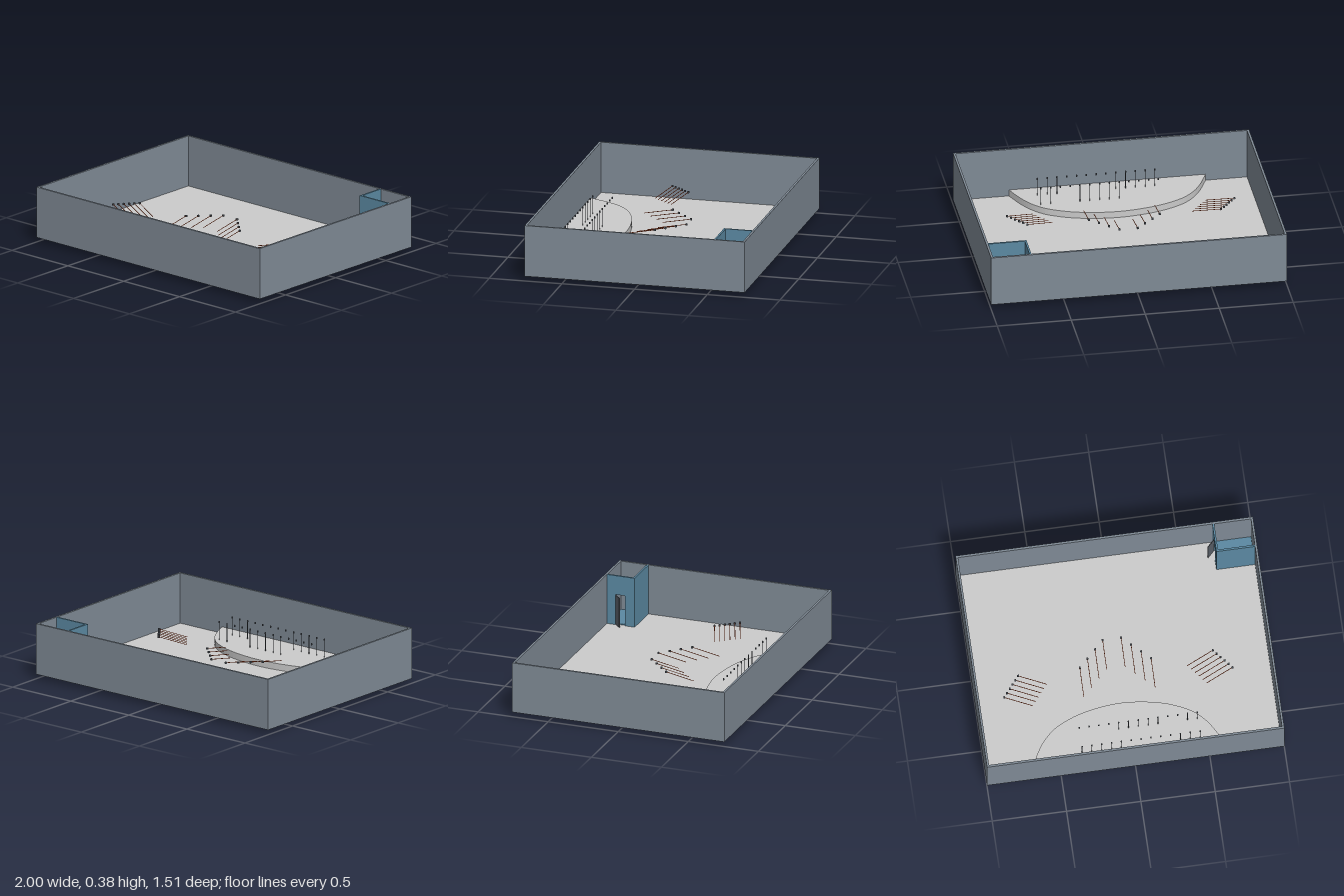
import * as THREE from 'three';

export function createModel() {
  const root = new THREE.Group();
  root.name = 'roomWithStage';
  const mat = (name, color, side = THREE.FrontSide) => {
    const m = new THREE.MeshStandardMaterial({ color, side });
    m.name = name;
    return m;
  };
  const wallGrey = mat('wallGrey', 0x7f8a95);
  const floorGrey = mat('floorGrey', 0xcbcbcb);
  const boothBlue = mat('boothBlue', 0x5b89a2);
  const beamOrange = mat('beamOrange', 0xcc4f24);
  const fixtureGrey = mat('fixtureGrey', 0x5a6068);

  const add = (name, geometry, material, parent = root) => {
    const mesh = new THREE.Mesh(geometry, material);
    mesh.name = name;
    parent.add(mesh);
    return mesh;
  };
  // box given by its minimum and maximum corners
  const box = (name, material, x0, x1, y0, y1, z0, z1, parent = root) => {
    const m = add(name, new THREE.BoxGeometry(x1 - x0, y1 - y0, z1 - z0), material, parent);
    m.position.set((x0 + x1) / 2, (y0 + y1) / 2, (z0 + z1) / 2);
    return m;
  };
  // thin straight rod between two points
  const rod = (name, material, a, b, radius, parent) => {
    const m = add(name, new THREE.CylinderGeometry(radius, radius, a.distanceTo(b), 6), material, parent);
    m.position.copy(a).lerp(b, 0.5);
    m.quaternion.setFromUnitVectors(new THREE.Vector3(0, 1, 0), b.clone().sub(a).normalize());
    return m;
  };

  // floor slab and the four outer walls
  const X = 1, Z = 0.757, T = 0.015, FLOOR = 0.035, TOP = 0.385;
  box('floor', floorGrey, -X + T, X - T, 0.028, FLOOR, -Z + T, Z - T);
  box('leftWall', wallGrey, X - T, X, FLOOR - 0.002, TOP, -Z, Z);
  box('rightWall', wallGrey, -X, -X + T, FLOOR - 0.002, TOP, -Z, Z);
  box('frontWall', wallGrey, -X + T, X - T, FLOOR - 0.002, TOP, Z - T, Z);
  box('backWall', wallGrey, -X + T, X - T, FLOOR - 0.002, TOP, -Z, -Z + T);

  // corner booth, open at the top, with a doorway and an open door
  const booth = new THREE.Group();
  booth.name = 'cornerBooth';
  root.add(booth);
  box('boothFloor', boothBlue, 0.735, X - T, FLOOR, FLOOR + 0.006, -Z + T, -0.55, booth);
  box('boothFrontWall', boothBlue, 0.725, X - T, FLOOR, TOP, -0.558, -0.545, booth);
  box('boothSideWallNear', boothBlue, 0.725, 0.738, FLOOR, TOP, -0.615, -0.558, booth);
  box('boothSideWallFar', boothBlue, 0.725, 0.738, FLOOR, TOP, -Z + T, -0.68, booth);
  box('boothLintel', boothBlue, 0.725, 0.738, 0.25, TOP, -0.68, -0.615, booth);
  const door = add('boothDoor', new THREE.BoxGeometry(0.063, 0.21, 0.005), fixtureGrey, booth);
  door.position.set(0.703, FLOOR + 0.107, -0.658);
  door.rotation.y = Math.PI / 4;

  // curved stage against the front wall
  const CX = -0.04, STAGE = 0.08;
  const half = [[0.665, 0.742], [0.6, 0.6], [0.53, 0.5], [0.43, 0.42], [0.25, 0.35]];
  const edge = [
    ...half.map(([x, z]) => new THREE.Vector2(CX - x, -z)),
    new THREE.Vector2(CX, -0.318),
    ...half.slice().reverse().map(([x, z]) => new THREE.Vector2(CX + x, -z)),
  ];
  const outline = new THREE.Shape(new THREE.SplineCurve(edge).getPoints(60));
  const stageGeo = new THREE.ExtrudeGeometry(outline, { depth: STAGE - FLOOR, bevelEnabled: false });
  stageGeo.rotateX(-Math.PI / 2);
  add('stage', stageGeo, floorGrey).position.y = FLOOR;

  // two rows of fixtures above the stage, some on long poles
  const rows = [
    { z: 0.5, poles: [0, 1, 4, 5, 6, 7, 8], through: [4, 5, 6, 7] },
    { z: 0.635, poles: [0, 1, 2, 8, 9, 10, 11, 12], through: [0, 1, 2, 10, 11, 12] },
  ];
  const stageFixtures = new THREE.Group();
  stageFixtures.name = 'stageFixtures';
  root.add(stageFixtures);
  for (const { z, poles, through } of rows) {
    for (let i = 0; i < 13; i++) {
      const x = 0.45 - i * 0.0662;
      const head = add('fixtureHead', new THREE.CylinderGeometry(0.005, 0.005, 0.012, 8), fixtureGrey, stageFixtures);
      head.position.set(x, 0.204, z);
      if (poles.includes(i)) {
        const foot = through.includes(i) ? 0 : STAGE;
        rod('fixturePole', fixtureGrey, new THREE.Vector3(x, foot, z), new THREE.Vector3(x, 0.2, z), 0.0022, stageFixtures);
      }
    }
  }

  // lamps with slender sloping beams
  const lamps = new THREE.Group();
  lamps.name = 'lamps';
  root.add(lamps);
  const lamp = (x, z, dx, dz) => {
    const y = 0.172;
    box('lampHead', fixtureGrey, x - 0.006, x + 0.006, y - 0.006, y + 0.006, z - 0.006, z + 0.006, lamps);
    rod('lampBeam', beamOrange, new THREE.Vector3(x, y, z), new THREE.Vector3(x + dx, y - 0.037, z + dz), 0.0022, lamps);
  };
  for (const s of [-1, 1]) {
    for (let i = 0; i < 6; i++) {
      lamp(CX + s * (0.655 + i * 0.0225), 0.067 + i * 0.0277, -s * 0.183, 0.072);
    }
    for (let i = 0; i < 4; i++) {
      lamp(CX + s * (0.062 + i * 0.0593), -0.105 + i * 0.0573, 0, 0.195);
    }
  }
  return root;
}
